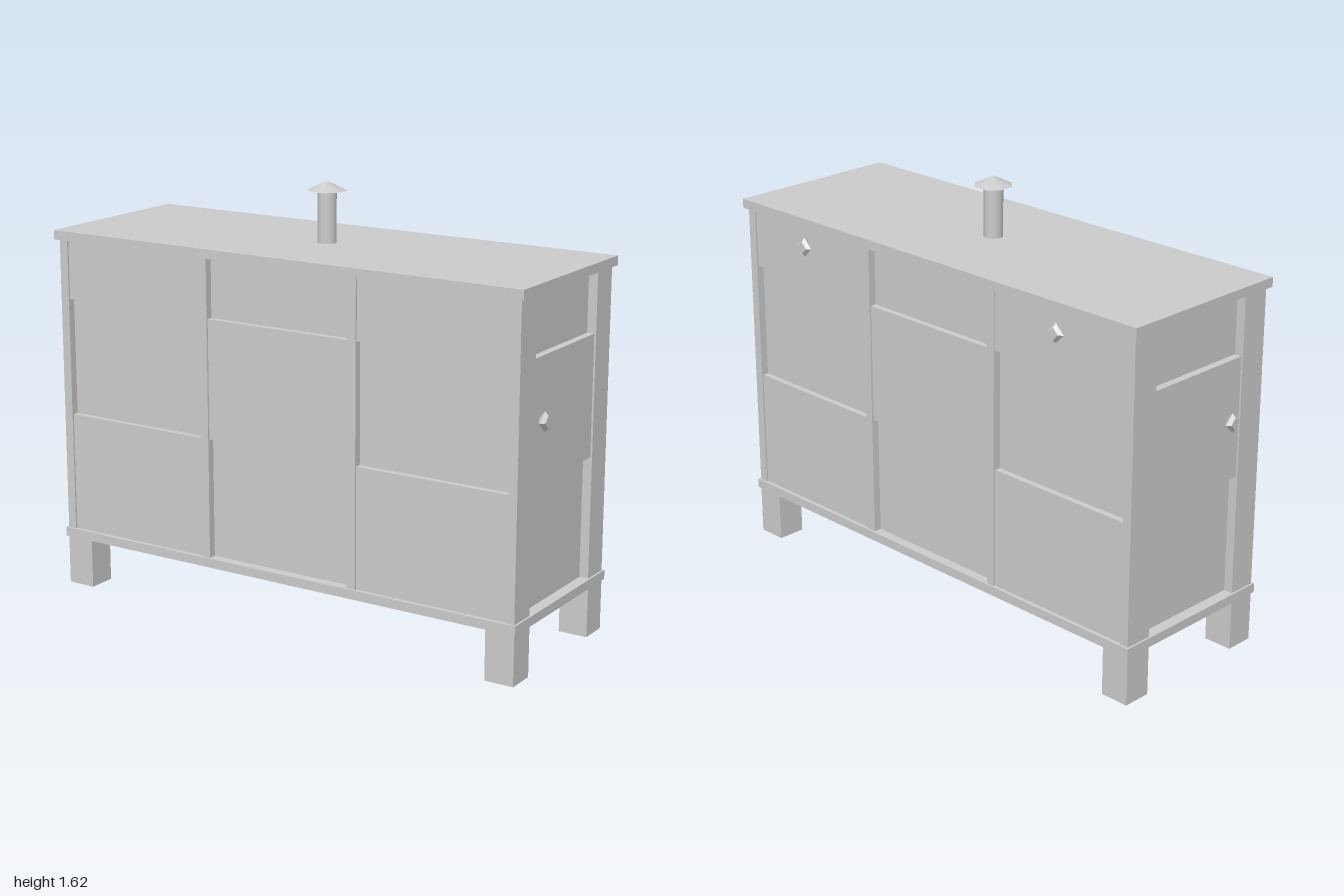
import * as THREE from 'three';

const grey = new THREE.MeshStandardMaterial({ color: 0xcccccc, flatShading: true });
const open = new THREE.MeshStandardMaterial({ color: 0xcccccc, flatShading: true, side: THREE.DoubleSide });
const smooth = new THREE.MeshStandardMaterial({ color: 0xcccccc });

const CZ = 0.005; // depth centre of the cabinet body
const Y = [0.225, 0.68, 1.13, 1.355]; // panel row boundaries

export function createModel() {
  const root = new THREE.Group();
  const body = new THREE.Group();
  body.name = 'cabinet';
  body.position.z = CZ;
  root.add(body);

  const add = (name, geo, mat = grey) => {
    const m = new THREE.Mesh(geo, mat);
    m.name = name;
    body.add(m);
    return m;
  };
  // Box given by its extents
  const box = (name, x0, x1, y0, y1, z0, z1) => {
    const m = add(name, new THREE.BoxGeometry(x1 - x0, y1 - y0, z1 - z0));
    m.position.set((x0 + x1) / 2, (y0 + y1) / 2, (z0 + z1) / 2);
    return m;
  };

  // Boards and recessed carcass
  box('topBoard', -0.99, 0.99, 1.355, 1.39, -0.35, 0.35);
  box('baseBoard', -0.983, 0.983, 0.19, 0.225, -0.343, 0.343);
  box('carcass', -0.94, 0.94, 0.225, 1.355, -0.305, 0.305);

  // Corner posts and hollow legs
  const legGeo = new THREE.CylinderGeometry(Math.SQRT1_2, Math.SQRT1_2, 1, 4, 1, true);
  legGeo.rotateY(Math.PI / 4);
  for (const sx of [-1, 1]) {
    for (const sz of [-1, 1]) {
      const post = box('cornerPost', -0.0175, 0.0175, 0.225, 1.355, -0.055, 0.055);
      post.position.x = sx * 0.9575;
      post.position.z = sz * 0.28;
      const leg = add('leg', legGeo, open);
      leg.scale.set(0.112, 0.19, 0.11);
      leg.position.set(sx * 0.92, 0.095, sz * 0.28);
    }
  }

  // Dividers and raised panels, in a checker pattern on front and back
  const columns = [[-0.94, -0.335], [-0.3, 0.3], [0.335, 0.94]];
  for (const sz of [-1, 1]) {
    for (const sx of [-1, 1]) {
      const divider = box('divider', -0.0175, 0.0175, 0.225, 1.355, -0.025, 0.025);
      divider.position.x = sx * 0.3175;
      divider.position.z = sz * 0.31;
    }
    columns.forEach(([x0, x1], c) => {
      for (let r = 0; r < 3; r++) {
        if ((c + r) % 2) continue;
        const panel = box('raisedPanel', x0, x1, Y[r], Y[r + 1], -0.015, 0.015);
        panel.position.z = sz * 0.313;
      }
    });
  }

  // Raised middle panel on each end
  for (const sx of [-1, 1]) {
    const panel = box('sidePanel', -0.02, 0.02, Y[1], Y[2], -0.225, 0.225);
    panel.position.x = sx * 0.948;
  }

  // Faceted diamond knobs on the ends and the back drawers
  const knobGeo = new THREE.LatheGeometry([
    [0, -0.025], [0.012, -0.025], [0.012, -0.014], [0.022, -0.013],
    [0.037, 0], [0.022, 0.013], [0, 0.013],
  ].map(([r, h]) => new THREE.Vector2(r, h)), 4);
  knobGeo.rotateX(Math.PI / 2);
  for (const s of [-1, 1]) {
    const side = add('sideKnob', knobGeo);
    side.position.set(s * 0.986, 0.905, 0.17);
    side.rotation.y = s * Math.PI / 2;
    const back = add('backKnob', knobGeo);
    back.position.set(s * 0.637, 1.28, -0.349);
    back.rotation.y = Math.PI;
  }

  // Pipe with a conical cap
  const pipe = add('pipe', new THREE.CylinderGeometry(0.035, 0.035, 0.2, 16), smooth);
  pipe.position.y = 1.485;
  const cap = add('pipeCap', new THREE.ConeGeometry(0.072, 0.035, 8), smooth);
  cap.position.y = 1.5975;
  cap.rotation.y = Math.PI / 8;

  return root;
}
